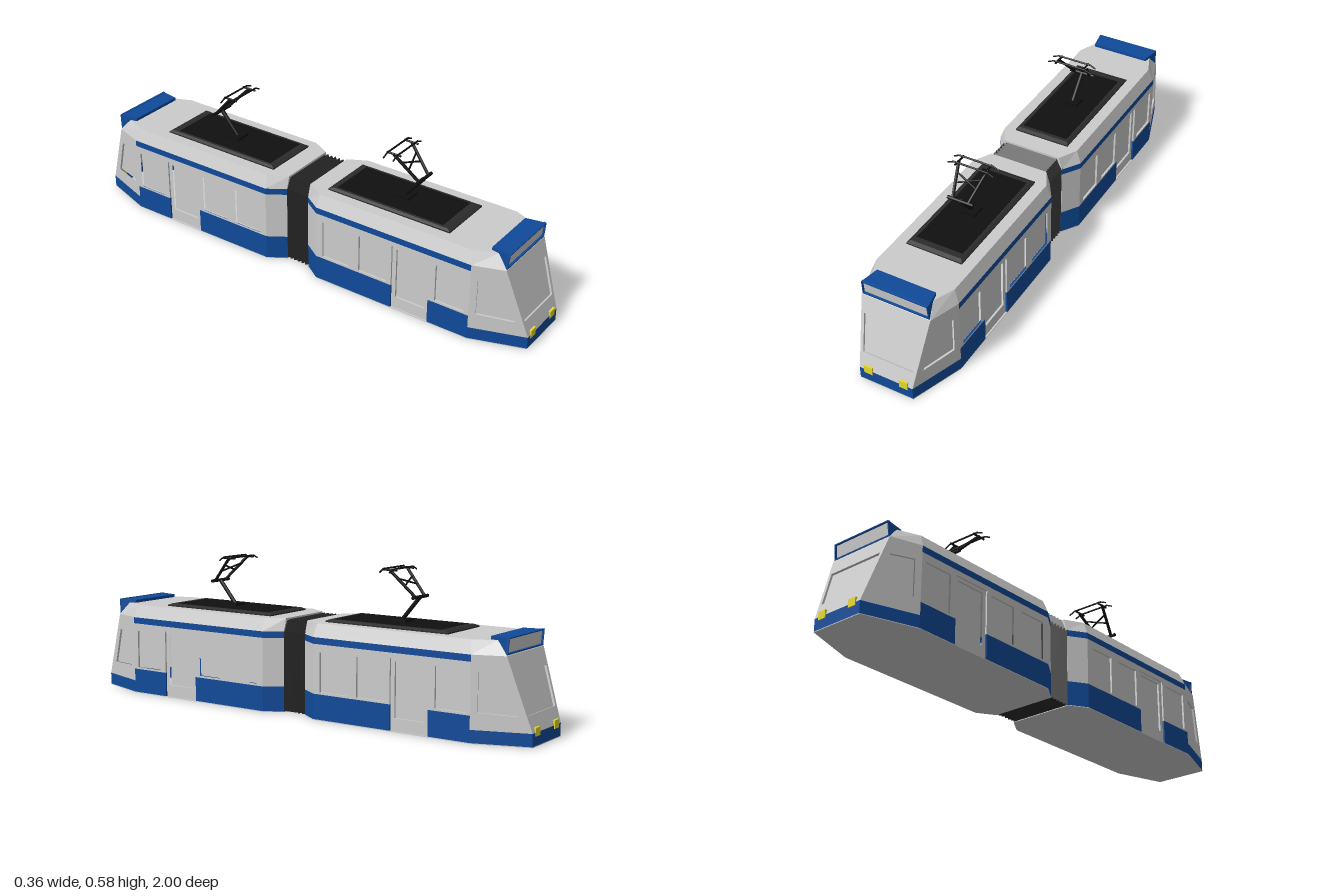
import * as THREE from 'three';

const mat = (color, extra = {}) => new THREE.MeshStandardMaterial({ color, ...extra });
const GREY = mat(0xcccccc), BLUE = mat(0x0f4a99), DARK = mat(0x2b2b2b);
const BLACK = mat(0x101010), YELLOW = mat(0xe6d92e);
const V3 = (x, y, z) => new THREE.Vector3(x, y, z);

function add(parent, name, geometry, material) {
  const mesh = new THREE.Mesh(geometry, material);
  mesh.name = name;
  parent.add(mesh);
  return mesh;
}

// Closed faceted solid through a stack of rings (counterclockwise seen from the last ring)
function loft(rings) {
  const pos = [], n = rings[0].length;
  const tri = (...pts) => pts.forEach(p => pos.push(...p));
  for (let r = 0; r + 1 < rings.length; r++) {
    for (let i = 0; i < n; i++) {
      const j = (i + 1) % n, [p, q] = [rings[r], rings[r + 1]];
      tri(p[i], p[j], q[j]);
      tri(p[i], q[j], q[i]);
    }
  }
  const first = rings[0], last = rings[rings.length - 1];
  for (let i = 1; i + 1 < n; i++) {
    tri(first[0], first[i + 1], first[i]);
    tri(last[0], last[i], last[i + 1]);
  }
  const g = new THREE.BufferGeometry();
  g.setAttribute('position', new THREE.Float32BufferAttribute(pos, 3));
  g.computeVertexNormals();
  return g;
}

// Horizontal ring mirrored in x, from [x, z] points listed front to back
const planRing = (pts, y) => [
  ...pts.map(([x, z]) => [x, y, z]),
  ...[...pts].reverse().map(([x, z]) => [-x, y, z]),
];

// Slab in the plane of U and V, extruded inwards, each hole filled by a recessed pane
function panel(parent, name, material, origin, U, V, outline, holes = [], offset = 0, depth = 0.012) {
  const vec = pts => pts.map(p => new THREE.Vector2(...p));
  const N = U.clone().cross(V).normalize();
  const basis = new THREE.Matrix4().makeBasis(U, V, N).setPosition(origin);
  const shape = new THREE.Shape(vec(outline));
  holes.forEach(h => shape.holes.push(new THREE.Path(vec(h))));
  const g = new THREE.ExtrudeGeometry(shape, { depth, bevelEnabled: false });
  g.translate(0, 0, -depth - offset).applyMatrix4(basis);
  add(parent, name, g, material);
  holes.forEach(h => panel(parent, name + 'Pane', GREY, origin, U, V, h, [], offset + 0.008, 0.004));
}

const rect = (a, b, y0, y1) => [[a, y0], [b, y0], [b, y1], [a, y1]];

// Upright wall on side s; outline points are [z, y], placed on the line between plan points P and Q
function wall(parent, name, material, s, P, Q, outline, holes = []) {
  const d = V3(s * (Q[0] - P[0]), 0, Q[1] - P[1]);
  const perZ = d.length() / (Q[1] - P[1]);
  const U = d.normalize().multiplyScalar(-s);
  const local = pts => pts.map(([z, y]) => [-s * (z - P[1]) * perZ, y]);
  panel(parent, name, material, V3(s * P[0], 0, P[1]), U, V3(0, 1, 0), local(outline), holes.map(local));
}

function rod(parent, name, a, b, r) {
  const d = b.clone().sub(a);
  const m = add(parent, name, new THREE.CylinderGeometry(r, r, d.length(), 8), BLACK);
  m.position.copy(a).addScaledVector(d, 0.5);
  m.quaternion.setFromUnitVectors(V3(0, 1, 0), d.normalize());
}

// Plan corners of one car, from the joint to the nose
const A = [0.135, 0.05], B = [0.18, 0.12], C = [0.18, 0.79], D = [0.11, 0.997];
const TOP_D = [0.14, 0.908];
const LOW = 0.003, SKIRT = 0.1, NOSE = 0.05, BAND = 0.29, EAVE = 0.315, ROOF = 0.365;

function carSide(car, s) {
  const side = new THREE.Group();
  side.name = s > 0 ? 'leftSide' : 'rightSide';
  car.add(side);
  // Tapered end beside the joint
  wall(side, 'jointSkirt', BLUE, s, A, B, rect(A[1], B[1], LOW, SKIRT));
  wall(side, 'jointWall', GREY, s, A, B, rect(A[1], B[1], SKIRT, BAND));
  wall(side, 'jointBand', BLUE, s, A, B, rect(A[1], B[1], BAND, EAVE));
  // Long side with windows and a notch for the door
  const d0 = 0.46, d1 = 0.62, dTop = 0.27;
  wall(side, 'rearSkirt', BLUE, s, B, C, rect(B[1], d0, LOW, SKIRT));
  wall(side, 'frontSkirt', BLUE, s, B, C, rect(d1, C[1], LOW, SKIRT));
  wall(side, 'sideBand', BLUE, s, B, C, rect(B[1], C[1], BAND, EAVE));
  const notched = [[B[1], SKIRT], [d0, SKIRT], [d0, dTop], [d1, dTop], [d1, SKIRT],
    [C[1], SKIRT], [C[1], BAND], [B[1], BAND]];
  const windows = [[0.15, 0.272], [0.315, 0.437], [0.648, 0.77]].map(([a, b]) => rect(a, b, 0.108, 0.26));
  wall(side, 'sideWindow', GREY, s, B, C, notched, windows);
  // Sunken door with its own window
  const flip = pts => pts.map(([z, y]) => [-s * z, y]);
  panel(side, 'door', GREY, V3(s * C[0], 0, 0), V3(0, 0, -s), V3(0, 1, 0),
    flip(rect(d0, d1, LOW, dTop)), [flip(rect(0.477, 0.603, 0.05, 0.258))], 0.007);
  // Tapered cab side
  wall(side, 'cabSkirt', BLUE, s, C, D, rect(C[1], D[1], LOW, NOSE));
  wall(side, 'cabWindow', GREY, s, C, D, [[C[1], NOSE], [D[1], NOSE], [TOP_D[1], EAVE], [C[1], EAVE]],
    [[[0.815, 0.112], [0.948, 0.106], [0.905, 0.25], [0.815, 0.256]]]);
}

function cabFront(car) {
  const X = V3(1, 0, 0), Y = V3(0, 1, 0);
  const trap = (w0, w1, y0, y1) => [[-w0, y0], [w0, y0], [w1, y1], [-w1, y1]];
  panel(car, 'noseSkirt', BLUE, V3(0, 0, D[1]), X, Y, trap(D[0], D[0], LOW, NOSE));
  const lean = (D[1] - TOP_D[1]) / (EAVE - NOSE);
  panel(car, 'windscreen', GREY, V3(0, NOSE, D[1]), X, V3(0, 1, -lean),
    trap(D[0], TOP_D[0], 0, EAVE - NOSE), [trap(0.104, 0.12, 0.06, 0.2)]);
  for (const s of [-1, 1]) {
    add(car, 'headlight', new THREE.BoxGeometry(0.034, 0.031, 0.018), YELLOW).position.set(s * 0.073, 0.053, 0.991);
  }
  // Flared destination box above the windscreen
  const frontLow = [0.135, 0.9], frontHigh = [0.133, 0.905], back = [0.12, 0.835];
  add(car, 'destinationBox', loft([planRing([frontLow, back], 0.32), planRing([frontHigh, back], 0.377)]), BLUE);
  panel(car, 'destinationFrame', BLUE, V3(0, 0.318, 0.908), X, V3(0, 1, 0.1),
    trap(0.136, 0.133, 0, 0.06), [trap(0.132, 0.13, 0.005, 0.056)], 0, 0.01);
}

function pantograph(car) {
  const p = new THREE.Group();
  p.name = 'pantograph';
  car.add(p);
  add(p, 'pantographFoot', new THREE.BoxGeometry(0.06, 0.012, 0.06), BLACK).position.set(0, 0.382, 0.4);
  rod(p, 'lowerArm', V3(0, 0.38, 0.395), V3(0, 0.474, 0.475), 0.008);
  rod(p, 'elbowBar', V3(-0.053, 0.474, 0.475), V3(0.053, 0.474, 0.475), 0.0065);
  const at = (x, t) => V3(x, 0.474 + 0.098 * t, 0.475 - 0.095 * t);
  for (const s of [-1, 1]) {
    rod(p, 'upperArm', at(s * 0.032, 0), at(s * 0.06, 1), 0.006);
    rod(p, 'crossBrace', at(-s * 0.043, 0.42), at(s * 0.052, 0.7), 0.0035);
    rod(p, 'headRail', V3(s * 0.058, 0.572, 0.41), V3(s * 0.058, 0.572, 0.35), 0.004);
    for (const z of [0.4, 0.358]) {
      rod(p, 'contactHorn', V3(s * 0.07, 0.576, z), V3(s * 0.094, 0.565, z), 0.003);
    }
  }
  for (const z of [0.4, 0.358]) rod(p, 'contactBar', V3(-0.071, 0.576, z), V3(0.071, 0.576, z), 0.0035);
}

function makeCar(name) {
  const car = new THREE.Group();
  car.name = name;
  add(car, 'floor', loft([planRing([D, C, B, A], 0), planRing([D, C, B, A], LOW)]), GREY);
  // Roof with sloped shoulders
  add(car, 'roof', loft([
    planRing([TOP_D, C, B, A], EAVE),
    planRing([[0.125, 0.865], [0.16, 0.78], [0.16, 0.125], [0.12, 0.05]], ROOF),
  ]), GREY);
  for (const s of [-1, 1]) carSide(car, s);
  cabFront(car);
  // Roof equipment tray with chamfered rim
  const ring = (w, z0, z1, y) => planRing([[w, z1], [w, z0]], y);
  add(car, 'roofTray', loft([ring(0.115, 0.13, 0.66, ROOF - 0.002), ring(0.115, 0.13, 0.66, 0.37),
    ring(0.105, 0.145, 0.645, 0.376)]), DARK);
  add(car, 'roofTrayTop', new THREE.BoxGeometry(0.19, 0.004, 0.46), BLACK).position.set(0, 0.3755, 0.39);
  pantograph(car);
  return car;
}

export function createModel() {
  const tram = new THREE.Group();
  tram.name = 'tram';
  const rear = makeCar('rearCar');
  rear.rotation.y = Math.PI;
  tram.add(makeCar('frontCar'), rear);

  // Folded bellows joining the two cars
  const rings = [];
  for (let i = 0; i <= 12; i++) {
    const k = i % 2 ? 0.012 : 0, w = 0.137 - k, z = -0.054 + i * 0.009;
    rings.push([[w, 0.004, z], [w, 0.318 - k / 2, z], [0.117 - k, 0.362 - k, z],
      [-0.117 + k, 0.362 - k, z], [-w, 0.318 - k / 2, z], [-w, 0.004, z]]);
  }
  add(tram, 'bellows', loft(rings), DARK);
  return tram;
}
